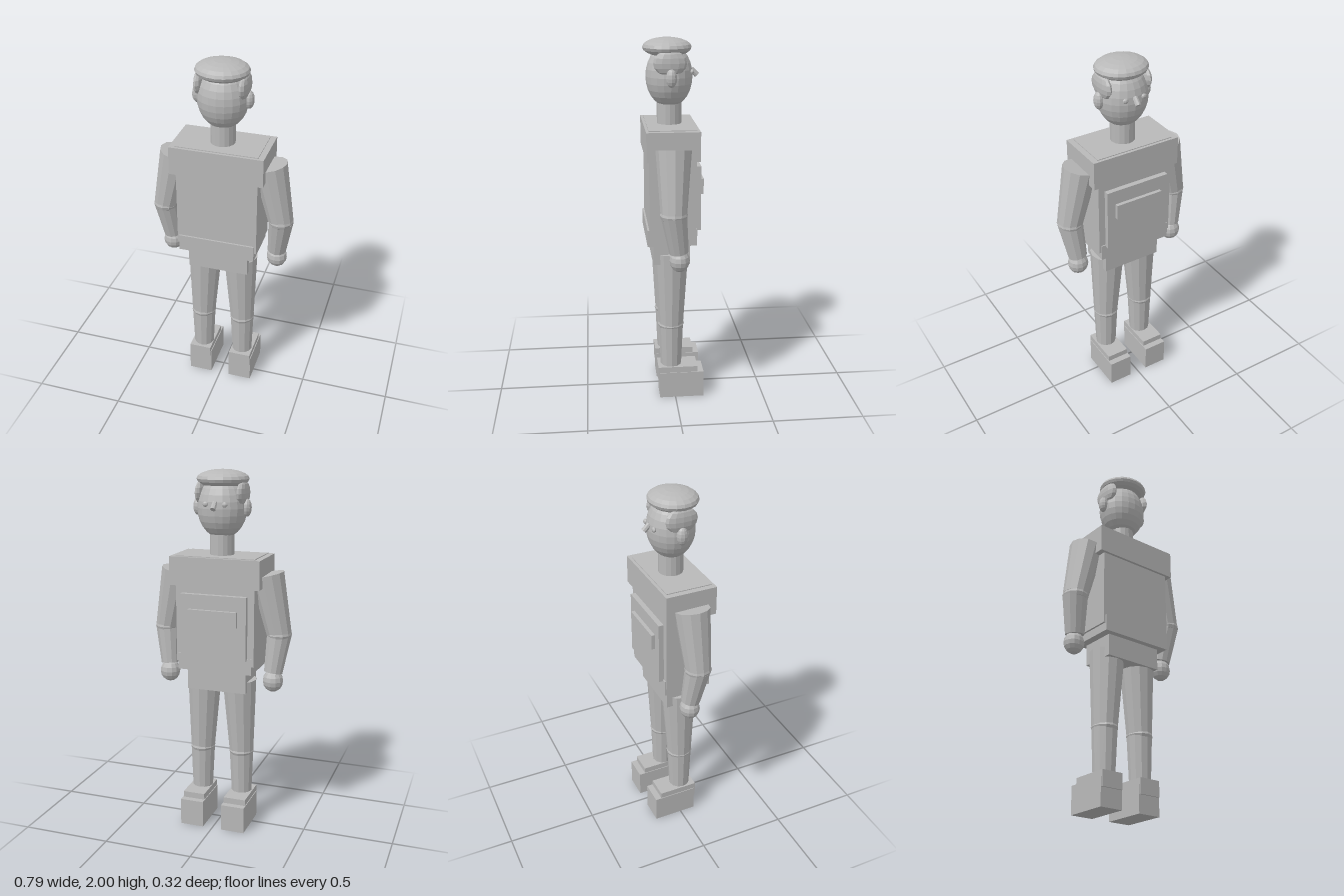
import * as THREE from 'three';

const grey = new THREE.MeshStandardMaterial({ color: 0xb8b8b8, flatShading: true });
grey.name = 'plain grey';

const V = (x, y, z) => new THREE.Vector3(x, y, z);

export function createModel() {
  const model = new THREE.Group();
  model.name = 'standingMan';

  const add = (name, geometry, parent = model) => {
    const mesh = new THREE.Mesh(geometry, grey);
    mesh.name = name;
    parent.add(mesh);
    return mesh;
  };
  // box given by its extents on each axis
  const box = (name, [x0, x1], [y0, y1], [z0, z1], parent) =>
    add(name, new THREE.BoxGeometry(x1 - x0, y1 - y0, z1 - z0), parent)
      .position.set((x0 + x1) / 2, (y0 + y1) / 2, (z0 + z1) / 2);
  // ellipsoid given by centre and radii
  const ball = (name, centre, radii, parent, w = 12, h = 8) => {
    const mesh = add(name, new THREE.SphereGeometry(1, w, h), parent);
    mesh.position.copy(centre);
    mesh.scale.set(...radii);
  };
  // tapered cylinder from a (radius ra) to b (radius rb)
  const limb = (name, a, b, ra, rb, parent, sides = 12) => {
    const axis = a.clone().sub(b);
    const mesh = add(name, new THREE.CylinderGeometry(ra, rb, axis.length(), sides), parent);
    mesh.position.copy(a).add(b).multiplyScalar(0.5);
    mesh.quaternion.setFromUnitVectors(V(0, 1, 0), axis.normalize());
  };

  // torso and clothing; the face and chest look towards -z
  box('torso', [-0.222, 0.222], [0.965, 1.55], [-0.107, 0.143]);
  box('shoulderYoke', [-0.254, 0.254], [1.39, 1.546], [-0.123, 0.158]);
  box('belt', [-0.211, 0.211], [0.92, 1.01], [-0.113, 0.153]);
  box('pelvis', [-0.168, 0.168], [0.80, 0.97], [-0.08, 0.12]);
  box('chestPanel', [-0.185, 0.185], [1.0, 1.35], [-0.135, -0.1]);
  box('chestPocket', [-0.137, 0.137], [1.185, 1.27], [-0.155, -0.13]);

  // neck and head
  limb('neck', V(0, 1.68, 0.018), V(0, 1.53, 0.018), 0.066, 0.066, model, 16);
  ball('head', V(0, 1.80, 0.018), [0.135, 0.165, 0.125], model, 20, 14);
  ball('hairCap', V(0, 1.95, 0.029), [0.142, 0.05, 0.13], model, 20, 10);
  limb('nose', V(0, 1.835, -0.098), V(0, 1.802, -0.13), 0.014, 0.015, model, 8);

  // paired parts, built once for each side
  for (const s of [-1, 1]) {
    const side = s > 0 ? 'left' : 'right';

    ball(side + 'Eye', V(s * 0.053, 1.825, -0.098), [0.016, 0.014, 0.01], model, 10, 6);
    ball(side + 'Ear', V(s * 0.137, 1.803, 0.018), [0.027, 0.048, 0.03], model, 10, 8);
    ball(side + 'SideHair', V(s * 0.116, 1.878, 0.023), [0.028, 0.067, 0.088], model, 12, 8);

    const arm = new THREE.Group();
    arm.name = side + 'Arm';
    model.add(arm);
    const elbow = V(s * 0.326, 1.13, 0.024);
    const wrist = V(s * 0.303, 0.92, -0.005);
    limb('upperArm', V(s * 0.255, 1.455, 0.018), elbow, 0.094, 0.069, arm);
    ball('elbow', elbow, [0.07, 0.05, 0.073], arm);
    limb('forearm', elbow, wrist, 0.069, 0.052, arm);
    ball('hand', V(s * 0.304, 0.873, -0.009), [0.057, 0.062, 0.054], arm);

    const leg = new THREE.Group();
    leg.name = side + 'Leg';
    model.add(leg);
    const knee = V(s * 0.117, 0.43, 0.02);
    limb('thigh', V(s * 0.103, 0.855, 0.018), knee, 0.096, 0.069, leg);
    ball('knee', knee, [0.071, 0.04, 0.074], leg);
    limb('shin', knee, V(s * 0.119, 0.17, 0.02), 0.069, 0.058, leg);

    // shoe with an ankle cuff set back from the toe
    const x = s * 0.122;
    box('shoe', [x - 0.067, x + 0.067], [0, 0.152], [-0.16, 0.088], leg);
    box('ankleCuff', [x - 0.063, x + 0.063], [0.1, 0.186], [-0.125, 0.096], leg);
  }

  return model;
}
